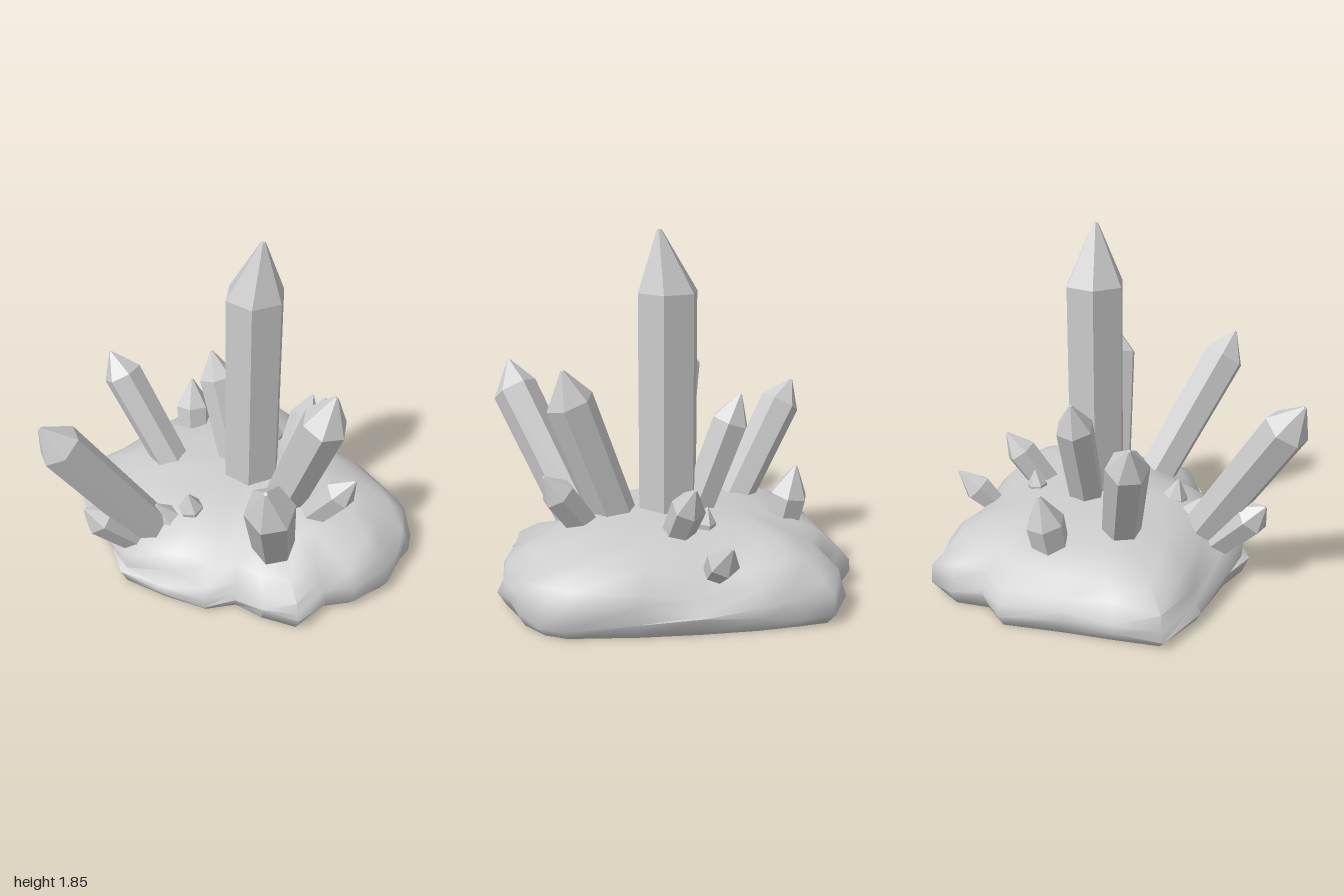
import * as THREE from 'three';
import { toCreasedNormals } from 'three/addons/utils/BufferGeometryUtils.js';

const stone = new THREE.MeshStandardMaterial({ color: 0xcccccc });
stone.name = 'paleGreyStone';

// Six-sided crystal along base-end: radius, length of the point, twist, base taper, sideways shift of the tip
function crystal(name, base, end, radius, point, twist = 0, taper = 0.92, lean = [0, 0, 0]) {
  const from = new THREE.Vector3(...base);
  const axis = new THREE.Vector3(...end).sub(from);
  const length = axis.length();
  const turn = new THREE.Quaternion().setFromUnitVectors(new THREE.Vector3(0, 1, 0), axis.normalize());
  const profile = [
    [0, 0], [radius * taper, 0], [radius, length - point], [radius * 0.08, length], [0, length],
  ].map(([x, y]) => new THREE.Vector2(x, y));
  const geometry = new THREE.LatheGeometry(profile, 6).toNonIndexed();
  geometry.rotateY(twist);

  // Move only the tip off the axis
  const shift = new THREE.Vector3(...lean).applyQuaternion(turn.clone().invert());
  const p = geometry.attributes.position;
  for (let i = 0; i < p.count; i++) {
    if (p.getY(i) > length - point / 2) {
      p.setXYZ(i, p.getX(i) + shift.x, p.getY(i) + shift.y, p.getZ(i) + shift.z);
    }
  }
  geometry.computeVertexNormals();

  const mesh = new THREE.Mesh(geometry, stone);
  mesh.name = name;
  mesh.position.copy(from);
  mesh.quaternion.copy(turn);
  return mesh;
}

// Rock footprint (x, z), clockwise from the back as seen from above
const outline = [
  [0.1, -0.98], [0.27, -0.9], [0.45, -0.96], [0.62, -0.91], [0.69, -0.75], [0.76, -0.58],
  [0.85, -0.3], [0.93, 0.0], [1.0, 0.35], [0.98, 0.47], [0.89, 0.6], [0.8, 0.66],
  [0.67, 0.77], [0.45, 0.81], [0.3, 0.78], [0.1, 0.87], [-0.05, 0.74], [-0.15, 0.6],
  [-0.32, 0.57], [-0.5, 0.4], [-0.67, 0.2], [-0.66, 0.0], [-0.71, -0.38], [-0.68, -0.68],
  [-0.45, -0.77], [-0.2, -0.86],
];

// Rings from the underside centre, over the rim, to the top centre: scale, height
const levels = [
  [0, 0], [0.6, 0], [0.955, 0], [1, 0.07], [0.985, 0.13], [0.945, 0.2],
  [0.84, 0.28], [0.67, 0.35], [0.44, 0.395], [0.2, 0.412], [0, 0.42],
];

// Shallow hollows in the rock: x, z, depth
const hollows = [[0.1, 0.58, 0.08], [0.78, -0.33, 0.06], [-0.3, 0.45, 0.03]];

function rockGeometry() {
  const cx = 0.15, cz = -0.05;
  const point = (i, j) => {
    const [k, h] = levels[j];
    const [ox, oz] = outline[i];
    // The left side is more jagged than the rest
    const jag = ox < -0.4 ? 0.028 : 0.014;
    const s = k + (j > 3 && k > 0.7 ? jag * (Math.sin(i * 2.4 + j * 1.9) - 0.4) : 0);
    const x = cx + (ox - cx) * s;
    const z = cz + (oz - cz) * s;
    let y = h;
    if (h > 0.1) {
      y += 0.035 * (x - cx) + 0.01 * k * Math.sin(i * 1.7 + j * 2.3);
      for (const [hx, hz, d] of hollows) {
        y -= d * Math.exp(-((x - hx) ** 2 + (z - hz) ** 2) / 0.04);
      }
    } else if (h > 0) {
      y += 0.025 * Math.sin(i * 1.3);
    }
    return [x, Math.max(y, 0), z];
  };
  const vertices = [];
  for (let j = 0; j < levels.length - 1; j++) {
    for (let i = 0; i < outline.length; i++) {
      const n = (i + 1) % outline.length;
      const a = point(i, j), b = point(n, j), c = point(i, j + 1), d = point(n, j + 1);
      if (j > 0) vertices.push(...a, ...c, ...b);
      if (j < levels.length - 2) vertices.push(...b, ...c, ...d);
    }
  }
  const geometry = new THREE.BufferGeometry();
  geometry.setAttribute('position', new THREE.Float32BufferAttribute(vertices, 3));
  return toCreasedNormals(geometry, 1.25);
}

export function createModel() {
  const group = new THREE.Group();
  group.name = 'crystalCluster';

  const rock = new THREE.Mesh(rockGeometry(), stone);
  rock.name = 'rockBase';
  group.add(rock);

  const turn = Math.PI / 6;
  group.add(
    // Large crystals
    crystal('mainCrystal', [0.185, 0.2, -0.02], [0.185, 1.85, -0.02], 0.162, 0.31, turn + 0.04, 1, [0.02, 0, 0.04]),
    crystal('leftLongCrystal', [-0.41, 0.2, 0.08], [-0.99, 1.08, 0.08], 0.122, 0.16, 0, 0.94),
    crystal('backLeftCrystal', [-0.16, 0.25, -0.29], [-0.44, 0.97, -0.62], 0.11, 0.14, 0.2),
    crystal('frontCrystal', [0.13, 0.22, 0.45], [-0.14, 1.08, 0.97], 0.125, 0.17, 0.3, 0.92, [0, 0.01, -0.04]),
    crystal('frontRightCrystal', [0.25, 0.25, 0.21], [0.42, 1.17, 0.5], 0.127, 0.18, turn, 0.92, [0.01, 0, -0.03]),
    crystal('backCrystal', [0.16, 0.25, -0.12], [0.08, 1.0, -0.385], 0.103, 0.15, turn),
    // Small crystals
    crystal('rearSmallCrystal', [0.04, 0.2, -0.59], [0.06, 0.62, -0.68], 0.103, 0.16, turn),
    crystal('leftSmallCrystal', [-0.51, 0.18, 0.08], [-0.81, 0.49, 0.08], 0.097, 0.11),
    crystal('rightSmallCrystal', [0.44, 0.3, -0.09], [0.65, 0.66, -0.23], 0.087, 0.13),
    crystal('frontSmallCrystal', [0.36, 0.3, 0.36], [0.54, 0.65, 0.55], 0.09, 0.13),
    crystal('rightEdgeCrystal', [0.66, 0.24, -0.32], [0.84, 0.45, -0.43], 0.083, 0.14, 0, 0.7),
    // Tiny crystals
    crystal('tinyCrystalA', [-0.22, 0.28, 0.13], [-0.25, 0.47, 0.14], 0.068, 0.1),
    crystal('tinyCrystalB', [-0.34, 0.25, 0.1], [-0.42, 0.42, 0.1], 0.08, 0.12),
    crystal('tinyCrystalC', [0.42, 0.32, -0.24], [0.43, 0.5, -0.26], 0.054, 0.08),
  );
  return group;
}
